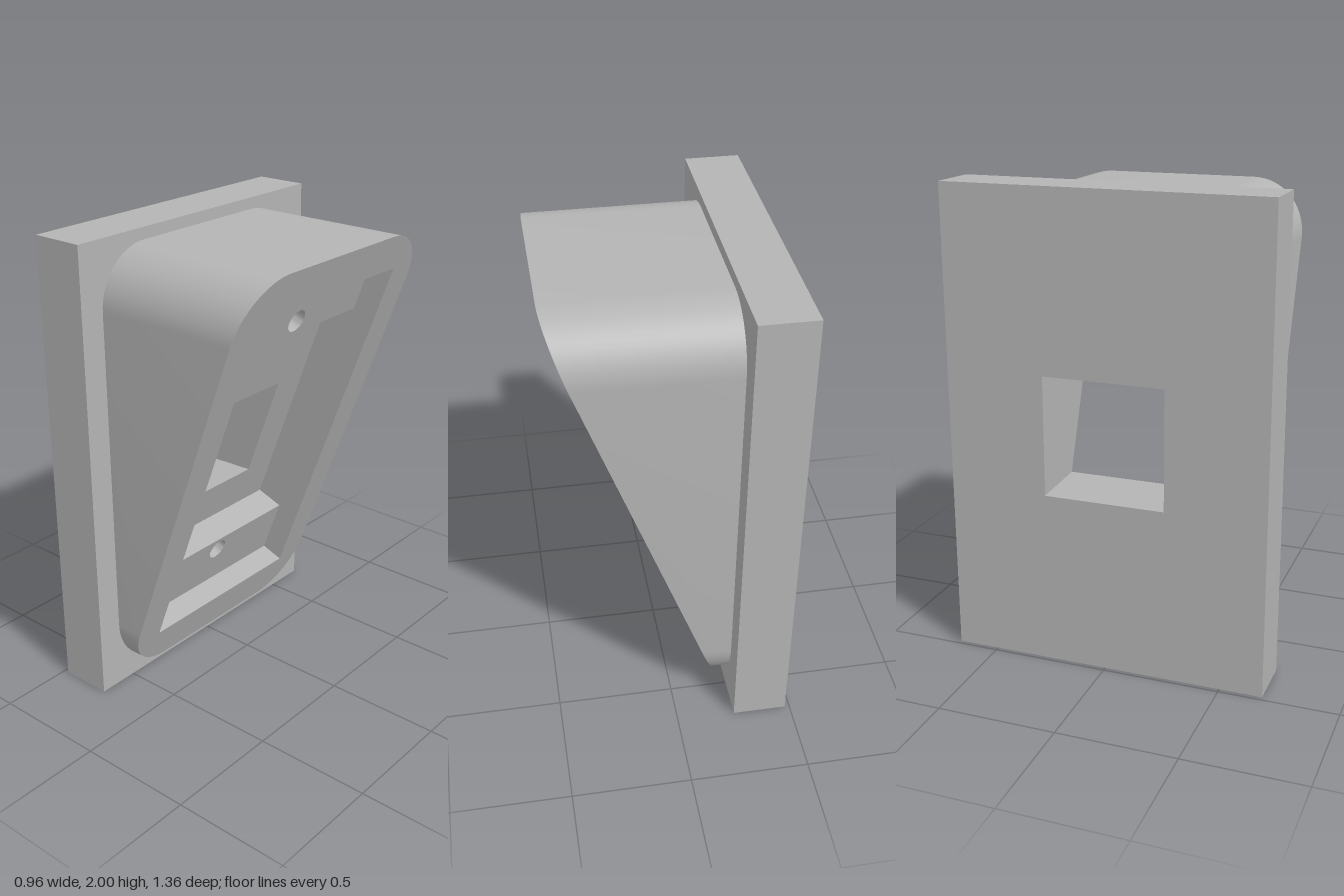
import * as THREE from 'three';
import { toCreasedNormals } from 'three/addons/utils/BufferGeometryUtils.js';

const TILT = THREE.MathUtils.degToRad(20);

// Contours are drawn as seen from +x: horizontal = -z, vertical = y, counter-clockwise.
const rect = (w, y0, y1) => [[-w, y0], [w, y0], [w, y1], [-w, y1]].map(p => new THREE.Vector2(...p));

function roundedRect(w, y0, y1, r, steps = 16) {
  const centres = [[w - r, y0 + r, -90], [w - r, y1 - r, 0], [r - w, y1 - r, 90], [r - w, y0 + r, 180]];
  return centres.flatMap(([cx, cy, start]) => Array.from({ length: steps + 1 }, (_, i) => {
    const t = THREE.MathUtils.degToRad(start + 90 * i / steps);
    return new THREE.Vector2(cx + r * Math.cos(t), cy + r * Math.sin(t));
  }));
}

const ellipse = (y, rx, ry, n = 32) => Array.from({ length: n }, (_, i) =>
  new THREE.Vector2(rx * Math.cos(i / n * 2 * Math.PI), y + ry * Math.sin(i / n * 2 * Math.PI)));

// Placements: an upright plane at x, or the sloping face sunk by a depth.
const upright = x => p => new THREE.Vector3(x, p.y, -p.x);
const sloped = d => p => new THREE.Vector3(
  -0.21 + (p.y - 0.05) * Math.tan(TILT) - d * Math.cos(TILT), p.y + d * Math.sin(TILT), -p.x);

// Flat face facing +x (or -x when flipped), with optional holes.
function face(outline, place, holes = [], flip = false) {
  const shape = new THREE.Shape(outline);
  shape.holes = holes.map(h => new THREE.Path(h));
  const geo = new THREE.ShapeGeometry(shape);
  const pos = geo.attributes.position;
  for (let i = 0; i < pos.count; i++) {
    const v = place(new THREE.Vector2(pos.getX(i), pos.getY(i)));
    pos.setXYZ(i, v.x, v.y, v.z);
  }
  if (flip) geo.index.array.reverse();
  geo.computeVertexNormals();
  return geo;
}

// Wall between two contours: back to front faces outward, front to back faces inward.
function wall(a, placeA, b, placeB) {
  const pts = [];
  for (let i = 0; i < a.length; i++) {
    const j = (i + 1) % a.length;
    const [a0, a1, b0, b1] = [placeA(a[i]), placeA(a[j]), placeB(b[i]), placeB(b[j])];
    pts.push(a0, a1, b1, a0, b1, b0);
  }
  return toCreasedNormals(new THREE.BufferGeometry().setFromPoints(pts), 0.6);
}

export function createModel() {
  const model = new THREE.Group();
  model.name = 'angledWallMount';
  const grey = new THREE.MeshStandardMaterial({ color: 0xb4b4b4 });
  grey.name = 'grey';

  const part = (name, ...geos) => {
    const group = new THREE.Group();
    group.name = name;
    geos.forEach((geo, i) => {
      const mesh = new THREE.Mesh(geo, grey);
      mesh.name = `${name}Surface${i + 1}`;
      group.add(mesh);
    });
    model.add(group);
  };

  const BACK = -0.48, FRONT = -0.25;   // plate faces
  const LEDGE = 0.105, FLOOR = 0.235;  // recess depths
  const sink = FLOOR * Math.sin(TILT);

  const plate = rect(0.68, 0, 2);
  const body = roundedRect(0.57, 0.05, 1.95, 0.24);
  const recess = rect(0.427, 0.22, 1.79);
  const pocket = rect(0.427, 0.475, 1.544);
  const windowFront = rect(0.257, 0.75 - sink, 1.223 - sink);
  const windowBack = rect(0.257, 0.742, 1.25);

  // Back plate, open behind the body
  part('backPlate',
    wall(plate, upright(BACK), plate, upright(FRONT)),
    face(plate, upright(FRONT), [body]),
    face(plate, upright(BACK), [windowBack], true));

  // Wedge body with its sloping rim
  part('wedgeBody',
    wall(body, upright(FRONT), body, sloped(0)),
    face(body, sloped(0), [recess]));

  // Stepped recess and the through window
  part('recess',
    wall(recess, sloped(0), recess, sloped(LEDGE)),
    wall(pocket, sloped(LEDGE), pocket, sloped(FLOOR)),
    face(pocket, sloped(FLOOR), [windowFront]));
  part('windowTunnel', wall(windowFront, sloped(FLOOR), windowBack, upright(BACK)));

  // Ledges, each with a blind screw hole
  for (const [name, y0, y1, holeY] of [['lowerLedge', 0.22, 0.475, 0.412], ['upperLedge', 1.544, 1.79, 1.602]]) {
    const hole = ellipse(holeY, 0.05, 0.05 * Math.cos(TILT));
    const bottom = sloped(LEDGE + 0.29);
    part(name, face(rect(0.427, y0, y1), sloped(LEDGE), [hole]));
    part(name + 'ScrewHole', wall(hole, sloped(LEDGE), hole, bottom), face(hole, bottom));
  }
  return model;
}
